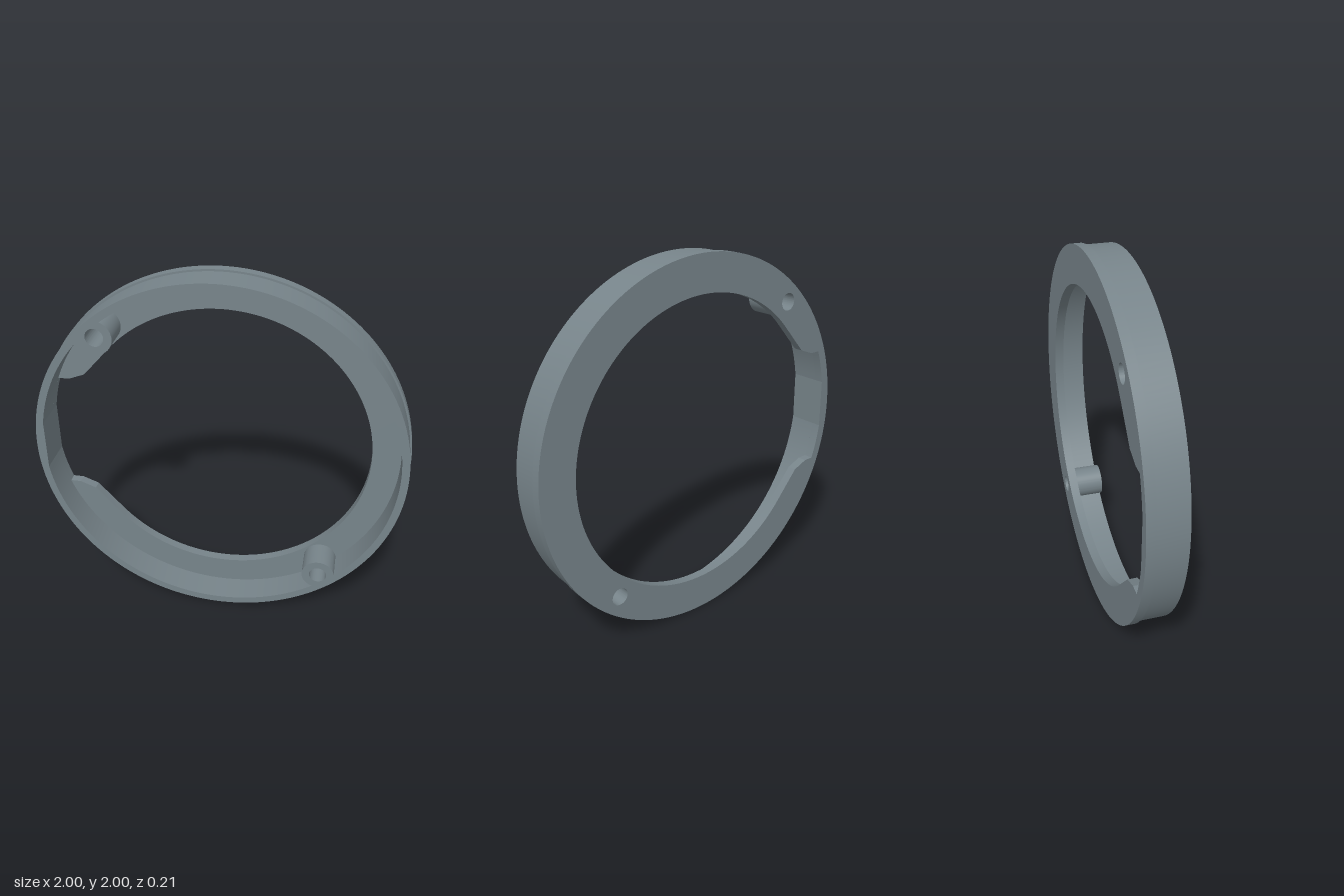
import * as THREE from 'three';
import { toCreasedNormals } from 'three/addons/utils/BufferGeometryUtils.js';

const BACK = -0.104, STEP = -0.054, FRONT = 0.104; // depth levels
const INNER = 0.95, FLAT_X = -0.94;                // wall inside and its flat
const BOSS_R = 0.09, HOLE_R = 0.048;
const bosses = [[0.575, -0.69], [-0.61, 0.668]];

// Points along an arc, ends included
function arc(cx, cy, r, from, to, n) {
  return Array.from({ length: n + 1 }, (_, i) => {
    const a = from + (to - from) * i / n;
    return new THREE.Vector2(cx + r * Math.cos(a), cy + r * Math.sin(a));
  });
}

// Inner wall arc, interrupted by the straight chord on the -x side
function wallArc(from, to) {
  const flat = Math.acos(FLAT_X / INNER);
  const steps = (a, b) => Math.max(2, Math.ceil(Math.abs(b - a) * 26));
  if (from < flat && to > 2 * Math.PI - flat) {
    return [
      ...arc(0, 0, INNER, from, flat, steps(from, flat)),
      ...arc(0, 0, INNER, 2 * Math.PI - flat, to, steps(2 * Math.PI - flat, to)),
    ];
  }
  return arc(0, 0, INNER, from, to, steps(from, to));
}

// Disc with the given inner contour and the two screw holes, extruded in z
function ring(name, radius, contour, z0, z1, material) {
  const shape = new THREE.Shape(arc(0, 0, radius, 0, 2 * Math.PI, 180).slice(0, -1));
  shape.holes.push(new THREE.Path(contour));
  for (const [x, y] of bosses) {
    shape.holes.push(new THREE.Path(arc(x, y, HOLE_R, 0, 2 * Math.PI, 56).slice(0, -1)));
  }
  const geometry = new THREE.ExtrudeGeometry(shape, { depth: z1 - z0, bevelEnabled: false });
  geometry.translate(0, 0, z0);
  const mesh = new THREE.Mesh(toCreasedNormals(geometry, 0.135), material);
  mesh.name = name;
  return mesh;
}

// Wall contour: inner circle with the screw bosses bulging inward
function wallContour() {
  const info = bosses.map(([x, y]) => {
    const d = Math.hypot(x, y);
    return {
      x, y, dir: Math.atan2(y, x),
      spread: Math.acos((d * d + INNER * INNER - BOSS_R * BOSS_R) / (2 * d * INNER)),
      turn: Math.acos((INNER * INNER - d * d - BOSS_R * BOSS_R) / (2 * d * BOSS_R)),
    };
  });
  const points = [];
  info.forEach((b, i) => {
    const next = info[(i + 1) % 2];
    const nextDir = next.dir + (next.dir < b.dir ? 2 * Math.PI : 0);
    // around the boss on its inward side, then along the wall
    points.push(...arc(b.x, b.y, BOSS_R, b.dir + 2 * Math.PI - b.turn, b.dir + b.turn, 44).slice(1, -1));
    points.push(...wallArc(b.dir + b.spread, nextDir - next.spread));
  });
  return points;
}

// Flange contour: round opening widening through two tabs into a side notch
function flangeContour() {
  const start = Math.atan2(0.53, -0.6);
  const tab = [[-0.742, 0.37], [-0.83, 0.336]];
  const notch = Math.PI - Math.asin(0.336 / INNER);
  return [
    ...arc(0, 0, 0.8, -start, start, 130),
    ...tab.map(([x, y]) => new THREE.Vector2(x, y)),
    ...wallArc(notch, 2 * Math.PI - notch),
    ...tab.reverse().map(([x, y]) => new THREE.Vector2(x, -y)),
  ];
}

export function createModel() {
  const group = new THREE.Group();
  group.name = 'retainingRing';
  const grey = new THREE.MeshStandardMaterial({ color: 0x77848a });
  grey.name = 'slate grey';

  group.add(ring('backFlange', 1.0, flangeContour(), BACK, STEP, grey));
  group.add(ring('wallWithBosses', 0.99, wallContour(), STEP, FRONT, grey));
  group.children.forEach((m) => { m.position.y = 1; });
  return group;
}
